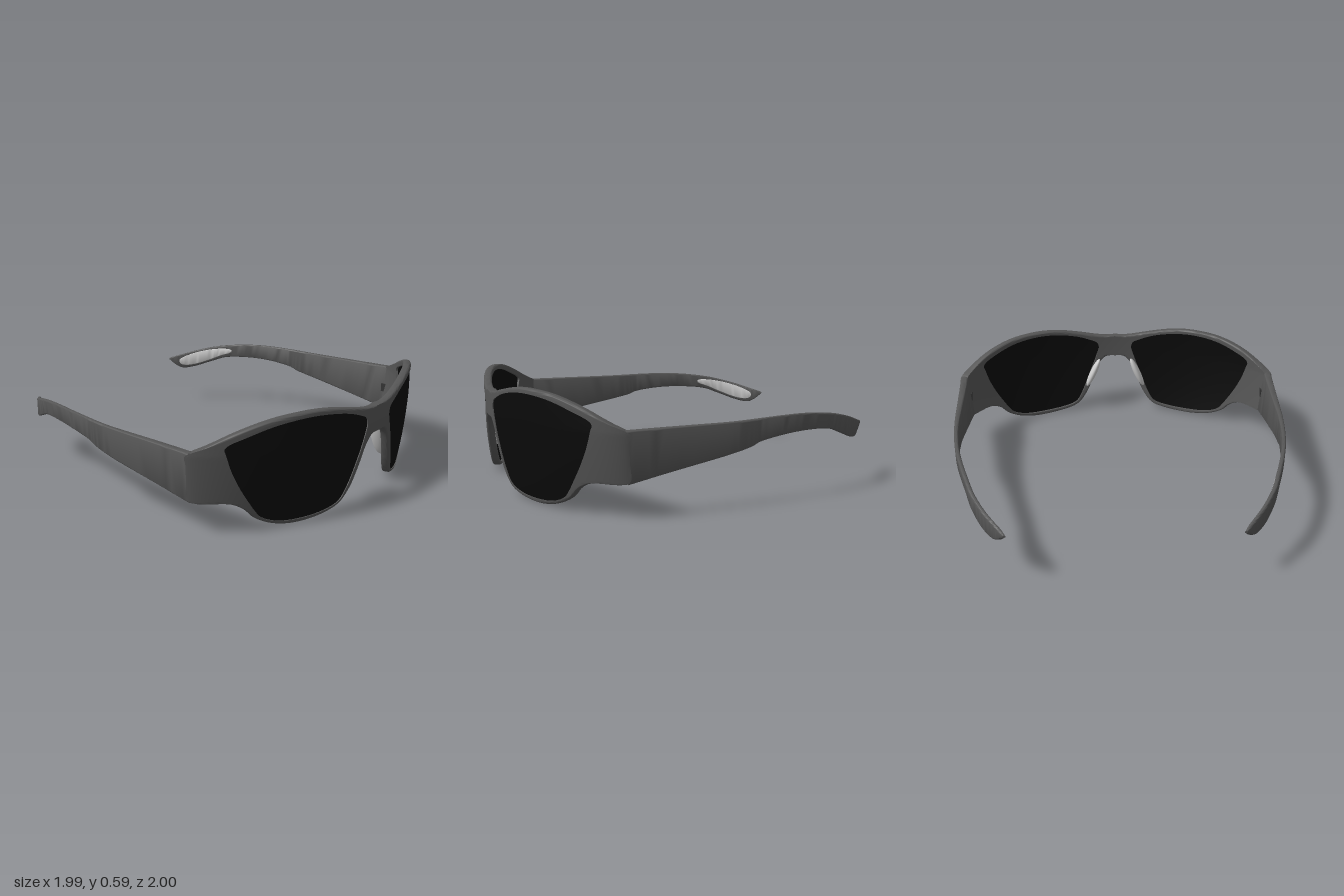
import * as THREE from 'three';
import { mergeGeometries, toCreasedNormals } from 'three/addons/utils/BufferGeometryUtils.js';

const mat = (color) => new THREE.MeshStandardMaterial({ color });
const frameMat = mat(0x555555), lensMat = mat(0x0a0a0a), padMat = mat(0xcccccc), hingeMat = mat(0x333333);

// Skin rows of points; every row has the same length. side = -1 mirrors in x.
function skin(rows, side, closeRows, closeCols) {
  const n = rows.length, m = rows[0].length, pos = [], idx = [];
  rows.forEach((r) => r.forEach((p) => pos.push(p[0] * side, p[1], p[2])));
  for (let i = 0; i < (closeRows ? n : n - 1); i++) {
    for (let j = 0; j < (closeCols ? m : m - 1); j++) {
      const i2 = (i + 1) % n, j2 = (j + 1) % m;
      const a = i * m + j, b = i2 * m + j, c = i2 * m + j2, d = i * m + j2;
      if (side > 0) idx.push(a, b, c, a, c, d);
      else idx.push(a, c, b, a, d, c);
    }
  }
  const g = new THREE.BufferGeometry();
  g.setAttribute('position', new THREE.Float32BufferAttribute(pos, 3));
  g.setIndex(idx);
  return g.toNonIndexed();
}

function addMesh(parent, name, geo, material, crease = 0.7) {
  const mesh = new THREE.Mesh(toCreasedNormals(geo, crease), material);
  mesh.name = name;
  parent.add(mesh);
  return mesh;
}

// Wrap a flat point (x, y) around the face, sunk by depth d behind the front surface
function wrap(x, y, d) {
  const w = 0.995 - 0.1 * Math.max(0, 0.42 - y);
  const s = Math.min(x / w, 0.9998), k = 1 - s * s;
  const z = 0.52 + 0.478 * Math.pow(k, 0.72) - 0.2 * (y - 0.45) ** 2;
  const slope = (0.478 * 1.44 * s * Math.pow(k, -0.28)) / w;
  const len = Math.hypot(slope, 1);
  return [x - (d * slope) / len, y, z - d / len];
}

// Half of the front: outer edge (x, y) paired with lens opening (x, y), clockwise
const rim = [
  [0, .52, .115, .455], [.01, .52, .118, .465], [.06, .521, .128, .48], [.13, .53, .16, .495],
  [.25, .555, .26, .53], [.4, .583, .4, .556], [.53, .59, .53, .563], [.7, .575, .69, .545],
  [.85, .525, .82, .5], [.95, .462, .87, .475], [.993, .425, .885, .455], [.99, .38, .88, .43],
  [.98, .28, .855, .34], [.971, .19, .82, .255], [.962, .174, .8, .215], [.85, .165, .775, .17],
  [.79, .13, .745, .12], [.74, .075, .71, .075], [.65, .025, .64, .04], [.53, .002, .53, .025],
  [.35, .014, .36, .033], [.26, .045, .275, .06], [.2, .12, .235, .12], [.15, .23, .185, .24],
  [.105, .33, .145, .34], [.06, .372, .12, .41], [.01, .38, .114, .428], [0, .38, .112, .432],
];
const loop = (c) => new THREE.CatmullRomCurve3(rim.map((p) => new THREE.Vector3(p[c], p[c + 1], 0)), true);
const outerLoop = loop(0), holeLoop = loop(2);
const STEPS = rim.length * 5, THICK = 0.045;
const smooth = THREE.MathUtils.smoothstep;

function frameHalf(side) {
  const rows = [];
  for (let i = 0; i < STEPS; i++) {
    const o = outerLoop.getPoint(i / STEPS), h = holeLoop.getPoint(i / STEPS);
    o.x = Math.max(0, o.x);
    const L = o.distanceTo(h);
    // edge rounding fades out at the bridge centre and at the hinge
    const r = Math.min(0.013, L * 0.8) * smooth(o.x, 0, 0.06) * (1 - smooth(o.x, 0.9, 0.97));
    const front = [], back = [];
    for (let k = 0; k <= 12; k++) {
      const t = Math.sin((k / 12) * Math.PI / 2), e = L * (1 - t);
      const d = e < r ? r - Math.sqrt(Math.max(0, r * r - (r - e) ** 2)) : 0;
      const x = h.x + (o.x - h.x) * t, y = h.y + (o.y - h.y) * t;
      front.push(wrap(x, y, d));
      back.unshift(wrap(x, y, THICK - d));
    }
    rows.push([...front, ...back]);
  }
  return skin(rows, side, true, true);
}

function lens(side) {
  const rows = [];
  for (let i = 0; i < STEPS; i++) {
    const h = holeLoop.getPoint(i / STEPS), front = [], back = [];
    for (let k = 0; k <= 12; k++) {
      const t = k / 12, x = 0.5 + (h.x - 0.5) * t, y = 0.3 + (h.y - 0.3) * t;
      front.push(wrap(x, y, 0.005));
      back.unshift(wrap(x, y, 0.032));
    }
    rows.push([...front, ...back]);
  }
  return skin(rows, side, true, false);
}

// Temple stations: z, outer x, top y, bottom y, thickness
const stations = [
  [.53, .99, .435, .17, .045], [.3, .975, .435, .215, .04], [0, .957, .435, .27, .03],
  [-.13, .944, .438, .298, .026], [-.2, .935, .44, .323, .025], [-.35, .91, .442, .343, .024],
  [-.5, .872, .437, .347, .024], [-.65, .823, .42, .335, .025], [-.75, .785, .4, .3, .026],
  [-.85, .727, .372, .26, .026], [-.92, .672, .347, .245, .026], [-.96, .637, .333, .265, .024],
  [-1, .603, .318, .305, .015],
];
const rail = (a, b) => new THREE.CatmullRomCurve3(
  stations.map((s) => new THREE.Vector3(s[0], s[a], s[b])), false, 'catmullrom', 0.5);
const plan = rail(1, 4), profile = rail(2, 3);

// Rounded-rectangle loft along the temple; pad = true makes the thin inlay on the inner face
function templeLoft(side, t0, t1, count, pad) {
  const rows = [];
  for (let i = 0; i <= count; i++) {
    const u = i / count, t = t0 + (t1 - t0) * u;
    const a = plan.getPoint(t), b = profile.getPoint(t);
    let x1 = a.y, x0 = a.y - a.z, top = b.y, bottom = b.z;
    if (pad) {
      x1 = x0 + 0.006;
      x0 -= 0.003;
      const full = (top - bottom) / 2 - 0.014, mid = (top + bottom) / 2;
      const half = full * (0.25 + 0.75 * Math.pow(Math.sin(Math.PI * u), 0.4));
      top = mid + half;
      bottom = mid - half;
    }
    const r = Math.min(0.01, (x1 - x0) * 0.4, (top - bottom) * 0.4);
    const lean = Math.max(0, a.x / 0.53), row = [];
    const put = (x, y) => [x - 0.1 * lean * Math.max(0, 0.42 - y), y, a.x + 0.07 * lean * (y - 0.3)];
    for (let q = 0; q < 4; q++) {
      const cx = q === 0 || q === 3 ? x1 - r : x0 + r, cy = q < 2 ? top - r : bottom + r;
      for (let k = 0; k <= 4; k++) {
        const ang = (q + k / 4) * Math.PI / 2;
        row.push(put(cx + r * Math.cos(ang), cy + r * Math.sin(ang)));
      }
    }
    const centre = row.map(() => put((x0 + x1) / 2, (top + bottom) / 2));
    if (i === 0) rows.push(centre);
    rows.push(row);
    if (i === count) rows.push(centre);
  }
  return skin(rows, side, false, true);
}

export function createModel() {
  const model = new THREE.Group();
  model.name = 'sunglasses';

  addMesh(model, 'frontFrame', mergeGeometries([frameHalf(1), frameHalf(-1)]), frameMat);

  for (const side of [1, -1]) {
    const label = side > 0 ? 'left' : 'right';
    addMesh(model, label + 'Lens', lens(side), lensMat);
    addMesh(model, label + 'Temple', templeLoft(side, 0, 1, 72, false), frameMat);
    addMesh(model, label + 'TempleTipPad', templeLoft(side, 0.56, 0.87, 24, true), padMat);

    // nose pad lying along the inner rim
    const pad = addMesh(model, label + 'NosePad', new THREE.SphereGeometry(1, 24, 16), padMat, 1);
    pad.scale.set(0.022, 0.11, 0.035);
    pad.position.set(side * 0.15, 0.27, 0.912);
    pad.rotation.set(0, 0, side * 0.42);

    // hinge on the inside of the corner
    const hinge = addMesh(model, label + 'Hinge', new THREE.BoxGeometry(0.02, 0.05, 0.035), hingeMat);
    hinge.position.set(side * 0.938, 0.3, 0.525);
  }
  return model;
}
